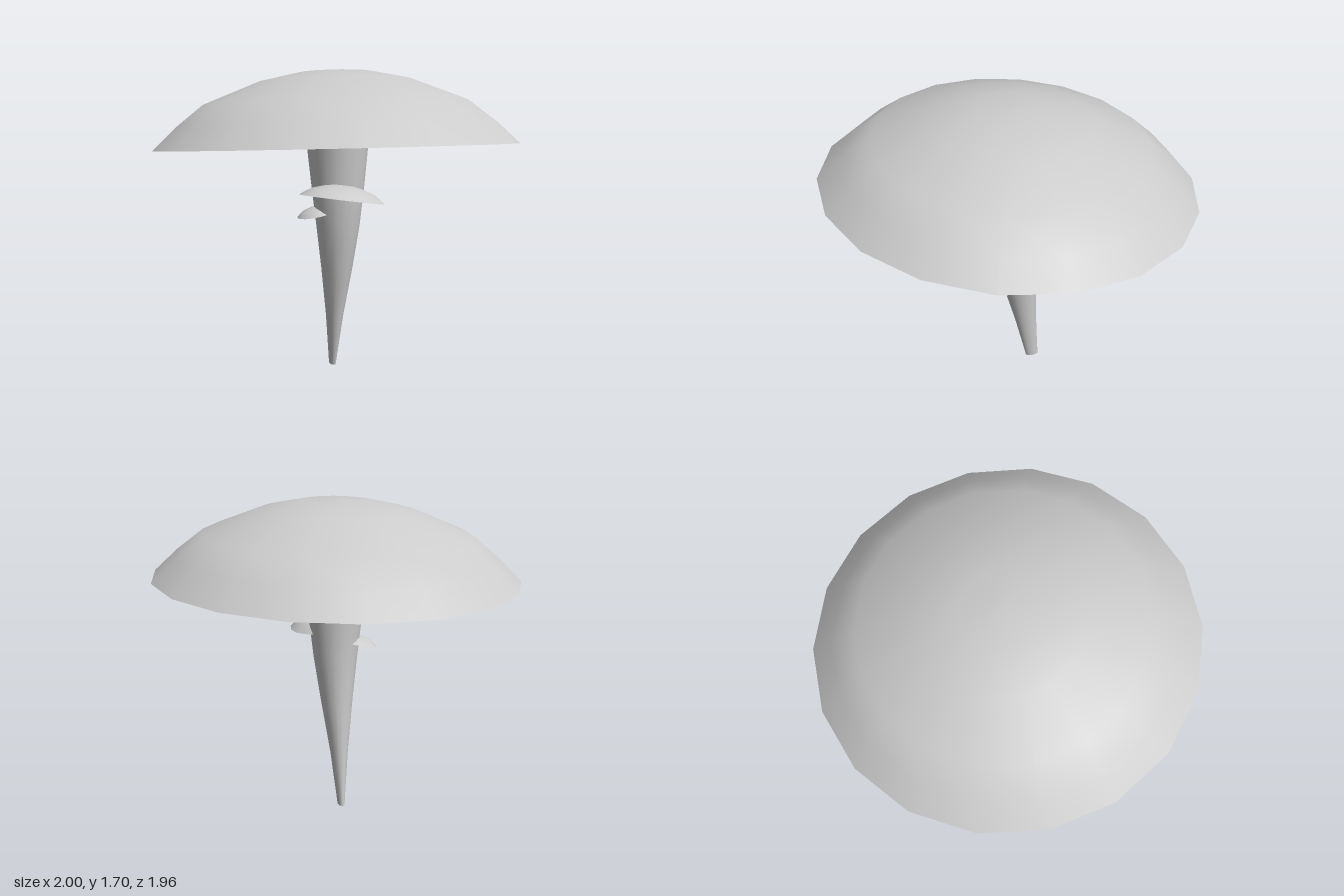
import * as THREE from 'three';

const material = new THREE.MeshStandardMaterial({ color: 0xcccccc, side: THREE.DoubleSide });

const lathe = (name, points, sides) => {
  const profile = points.map(([r, y]) => new THREE.Vector2(r, y));
  const mesh = new THREE.Mesh(new THREE.LatheGeometry(profile, sides, Math.PI / 2), material);
  mesh.name = name;
  return mesh;
};

// Domed disc of radius 1: smooth top shell plus a shallow underside
function mushroomCap(name, underside, sides) {
  const group = new THREE.Group();
  group.name = name;
  group.add(
    lathe(name + 'Dome', [[1, 0], [0.875, 0.12], [0.73, 0.235], [0.42, 0.358], [0.2, 0.405], [0, 0.412]], sides),
    lathe(name + 'Underside', underside, sides)
  );
  return group;
}

// Bent, tapering stem lofted through elliptical rings
function stem() {
  // height, centre x, centre z, radius x, radius z
  const rings = [
    [0, 0.018, -0.137, 0.017, 0.037],
    [0.3, 0.017, -0.094, 0.048, 0.064],
    [0.6, 0.017, -0.05, 0.089, 0.1],
    [0.84, 0.016, -0.026, 0.122, 0.126],
    [1.05, 0.014, -0.02, 0.147, 0.147],
    [1.34, 0.012, -0.02, 0.177, 0.174]
  ];
  const sides = 18;
  const geometry = new THREE.CylinderGeometry(1, 1, 1, sides, rings.length - 1, true);
  const pos = geometry.attributes.position;
  for (let i = 0; i < pos.count; i++) {
    const row = rings.length - 1 - Math.floor(i / (sides + 1));
    const [y, cx, cz, rx, rz] = rings[row];
    pos.setXYZ(i, cx + pos.getX(i) * rx, y, cz + pos.getZ(i) * rz);
  }
  geometry.computeVertexNormals();
  // Make the normals agree along the seam
  const normal = geometry.attributes.normal;
  for (let row = 0; row < rings.length; row++) {
    const a = row * (sides + 1), b = a + sides;
    const n = new THREE.Vector3().fromBufferAttribute(normal, a)
      .add(new THREE.Vector3().fromBufferAttribute(normal, b)).normalize();
    normal.setXYZ(a, n.x, n.y, n.z);
    normal.setXYZ(b, n.x, n.y, n.z);
  }
  const side = new THREE.Mesh(geometry, material);
  side.name = 'stemSide';

  // Flat foot
  const [, cx, cz, rx, rz] = rings[0];
  const foot = new THREE.Mesh(new THREE.CircleGeometry(1, sides), material);
  foot.name = 'stemFoot';
  foot.rotation.x = Math.PI / 2;
  foot.scale.set(rx, rz, 1);
  foot.position.set(cx, 0, cz);

  const group = new THREE.Group();
  group.name = 'stem';
  group.add(side, foot);
  return group;
}

export function createModel() {
  const model = new THREE.Group();
  model.name = 'mushroom';

  // Main cap, tilted back, its underside dipping to a collar at the stem
  const cap = mushroomCap('cap', [[0, -0.005], [0.2, -0.005], [0.42, 0.065], [0.7, 0.04], [1, 0]], 18);
  cap.position.y = 1.28;
  cap.rotation.x = -0.071;

  // Shelf growing around the front of the stem
  const flat = [[0, 0.06], [0.6, 0.05], [1, 0]];
  const largeShelf = mushroomCap('largeShelf', flat, 18);
  largeShelf.position.set(-0.005, 1.002, 0.11);
  largeShelf.rotation.set(-0.07, 0, -0.148);
  largeShelf.scale.set(0.238, 0.19, 0.212);

  // Small shelf on the right of the stem
  const smallShelf = mushroomCap('smallShelf', flat, 18);
  smallShelf.position.set(-0.1, 0.908, -0.045);
  smallShelf.rotation.z = 0.21;
  smallShelf.scale.set(0.113, 0.1, 0.113);

  model.add(cap, stem(), largeShelf, smallShelf);
  return model;
}
